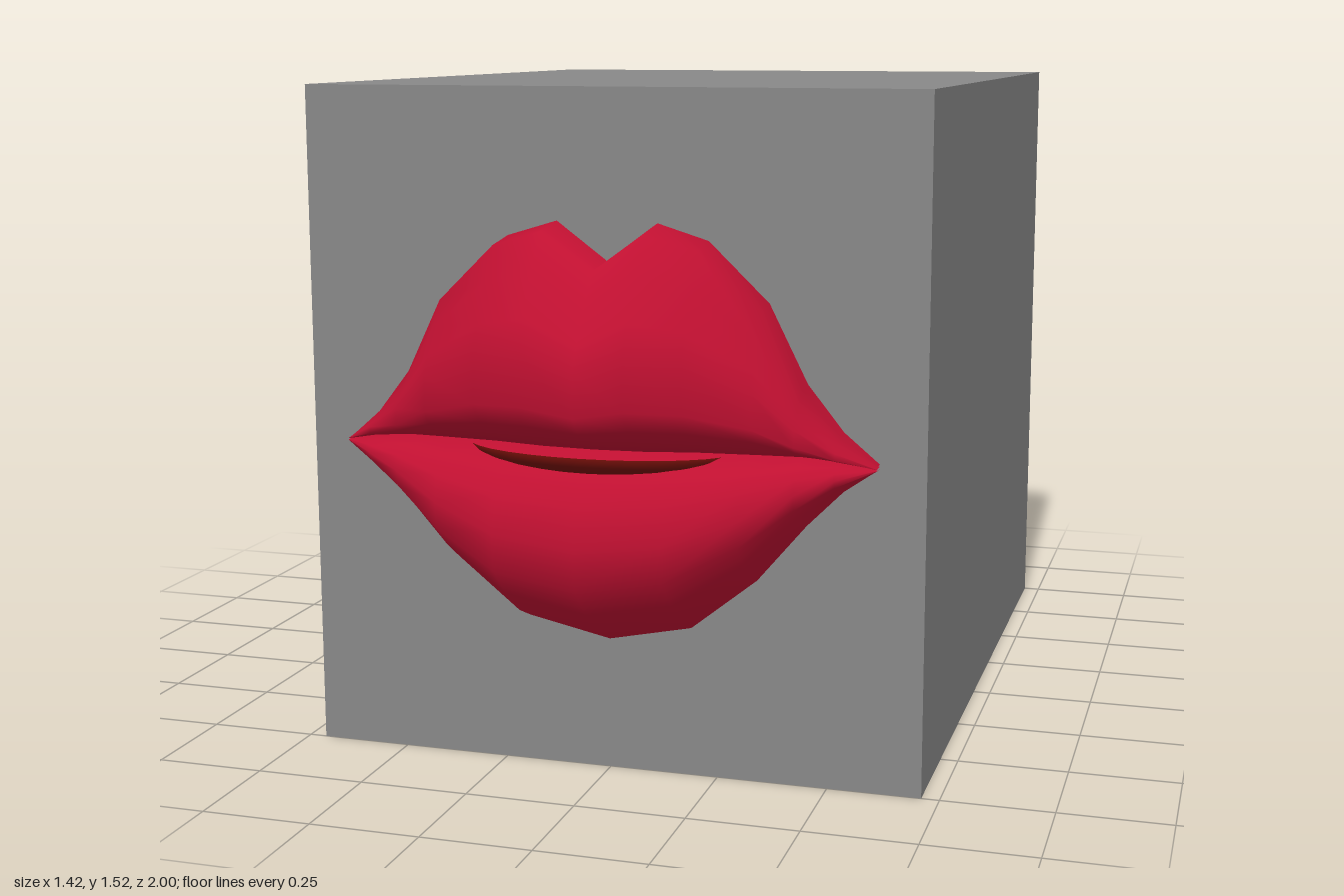
import * as THREE from 'three';

const FACE_Z = 0.75; // front face of the block

// Upper lip columns: x, outline y, seam y, bulge depth
const UPPER = [
  [0, 1.15, 0.752, 0.235], [0.115, 1.235, 0.755, 0.25], [0.23, 1.2, 0.757, 0.215],
  [0.365, 1.07, 0.755, 0.165], [0.45, 0.9, 0.753, 0.13], [0.53, 0.8, 0.745, 0.095],
  [0.608, 0.735, 0.73, 0.04],
];
// Lower lip columns
const LOWER = [
  [0, 0.3, 0.752, 0.235], [0.19, 0.34, 0.756, 0.22], [0.34, 0.46, 0.755, 0.175],
  [0.45, 0.59, 0.753, 0.13], [0.53, 0.67, 0.745, 0.095], [0.608, 0.725, 0.73, 0.04],
];
// Profiles from outline (0) to seam (1): position, share of the bulge depth
const UPPER_PROFILE = [[0, 0], [0.03, 0.42], [0.2, 0.66], [0.39, 0.87], [0.52, 0.98],
  [0.77, 1], [0.87, 0.85], [0.94, 0.66], [1, 0.42], [1, 0]];
const LOWER_PROFILE = [[0, 0], [0.07, 0.3], [0.22, 0.68], [0.38, 0.99], [0.58, 1.02],
  [0.78, 0.96], [0.9, 0.7], [1, 0.45], [1, 0]];

// Lofts a lip across mirrored columns
function lipGeometry(half, profile, flip) {
  const columns = [...half.slice(1).reverse().map(([x, ...rest]) => [-x, ...rest]), ...half];
  const rows = profile.length;
  const positions = [], index = [];
  columns.forEach(([x, outline, seam, depth], i) => {
    profile.forEach(([u, d], j) => {
      positions.push(x, outline + (seam - outline) * u, FACE_Z + depth * d);
      if (i === columns.length - 1 || j === rows - 1) return;
      const a = i * rows + j, b = a + rows, c = b + 1, e = a + 1;
      if (flip) index.push(a, c, e, a, b, c);
      else index.push(a, e, c, a, c, b);
    });
  });
  const geometry = new THREE.BufferGeometry();
  geometry.setAttribute('position', new THREE.Float32BufferAttribute(positions, 3));
  geometry.setIndex(index);
  geometry.computeVertexNormals();
  return geometry;
}

export function createModel() {
  const model = new THREE.Group();
  model.name = 'lipsOnBlock';
  const material = (name, color) => {
    const m = new THREE.MeshStandardMaterial({ color, side: THREE.DoubleSide });
    m.name = name;
    return m;
  };
  const grey = material('blockGrey', 0x888888);
  const red = material('lipRed', 0xc01031);
  const darkRed = material('mouthDarkRed', 0x74100a);

  const add = (name, geometry, mat) => {
    const mesh = new THREE.Mesh(geometry, mat);
    mesh.name = name;
    model.add(mesh);
    return mesh;
  };

  // Solid block behind the lips
  add('block', new THREE.BoxGeometry(1.42, 1.525, 1.75), grey).position.set(0, 0.7625, -0.125);

  // Lips meeting at the seam
  add('upperLip', lipGeometry(UPPER, UPPER_PROFILE, false), red);
  add('lowerLip', lipGeometry(LOWER, LOWER_PROFILE, true), red);

  // Tongue showing over the inside of the lower lip
  const tongue = add('tongue',
    new THREE.SphereGeometry(1, 32, 10, 0, Math.PI * 2, Math.PI / 2, Math.PI / 2), darkRed);
  tongue.scale.set(0.31, 0.065, 0.16);
  tongue.position.set(0, 0.75, 0.78);

  return model;
}
